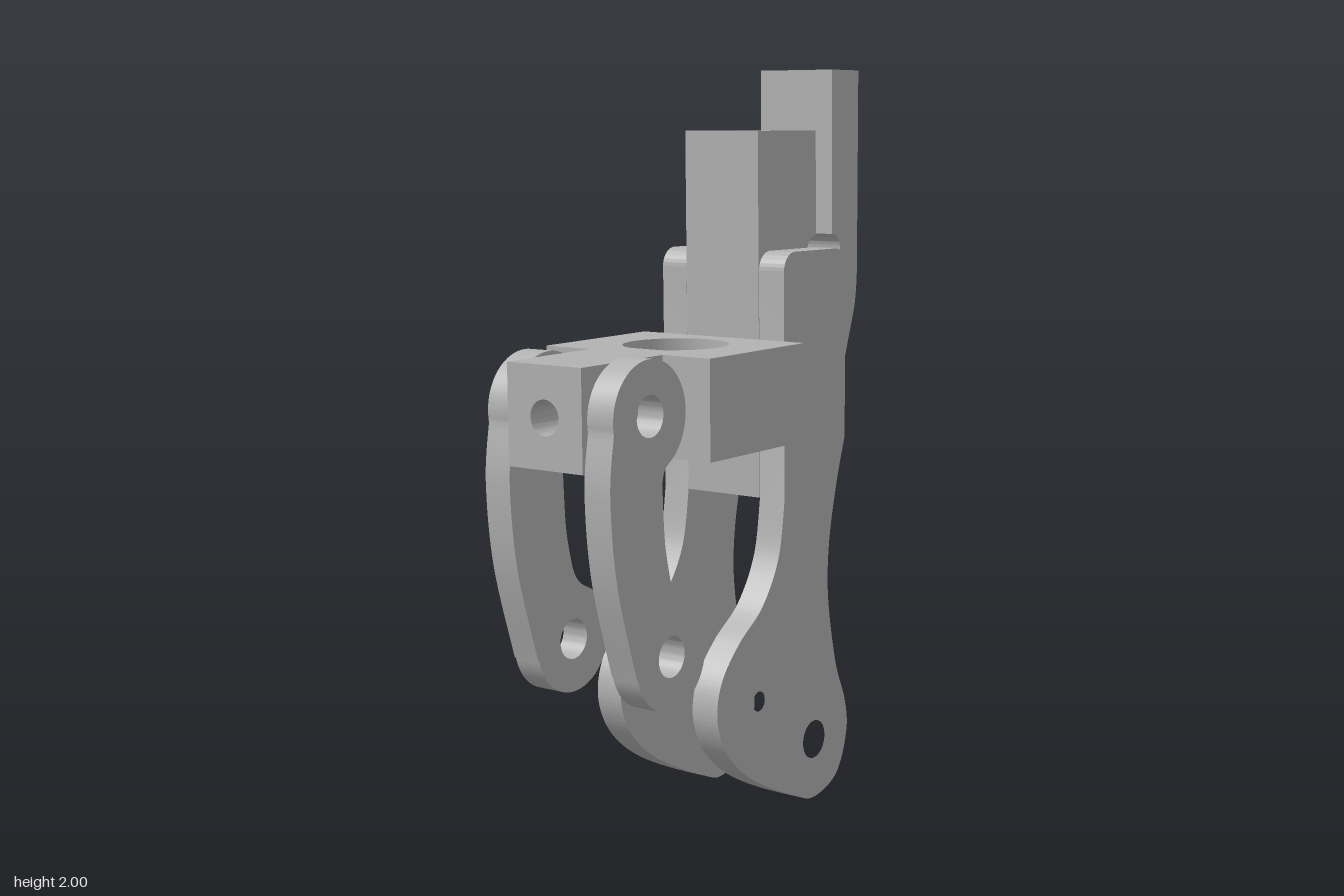
import * as THREE from 'three';
import { toCreasedNormals } from 'three/addons/utils/BufferGeometryUtils.js';

const metal = new THREE.MeshStandardMaterial({ color: 0xb2b2b2 });
metal.name = 'grey metal';

const THICK = 0.08; // side plates
const HALF = 0.118; // half width of the centre parts
const PIN = 0.053; // pin hole radius

function addHole(shape, x, y, r) {
  const hole = new THREE.Path();
  hole.absarc(x, y, r, 0, Math.PI * 2, true);
  shape.holes.push(hole);
}

function rect(x0, y0, x1, y1) {
  return new THREE.Shape([[x0, y0], [x1, y0], [x1, y1], [x0, y1]].map(p => new THREE.Vector2(...p)));
}

function extrude(shape, from, to) {
  const g = new THREE.ExtrudeGeometry(shape, { depth: to - from, bevelEnabled: false, curveSegments: 24 });
  g.translate(0, 0, from);
  return toCreasedNormals(g, 0.5);
}

function addMesh(group, name, geometry) {
  const m = new THREE.Mesh(geometry, metal);
  m.name = name;
  group.add(m);
  return m;
}

// One plate on each side of the centre parts
function platePair(group, name, shape) {
  addMesh(group, name + 'Front', extrude(shape, 0.122, 0.122 + THICK));
  addMesh(group, name + 'Back', extrude(shape, -0.118 - THICK, -0.118));
}

const vecs = list => list.map(p => new THREE.Vector2(...p));

// Large pear-shaped side plate
function leverShape() {
  const s = new THREE.Shape();
  s.moveTo(0.12, 1.47);
  s.absarc(0.17, 1.47, 0.05, Math.PI, Math.PI / 2, true);
  s.absarc(0.367, 1.47, 0.05, Math.PI / 2, 0, true);
  s.lineTo(0.42, 1.0);
  s.splineThru(vecs([[0.38, 0.87], [0.347, 0.71], [0.345, 0.56], [0.385, 0.37], [0.435, 0.25],
    [0.445, 0.155], [0.395, 0.045], [0.285, 0.004], [0.195, 0.028], [0.025, 0.105], [-0.08, 0.175],
    [-0.145, 0.25], [-0.172, 0.335], [-0.15, 0.425], [-0.075, 0.51], [0.03, 0.59], [0.103, 0.71], [0.13, 0.865]]));
  s.closePath();
  addHole(s, 0.24, 1.36, PIN);
  addHole(s, 0.245, 1.04, PIN);
  addHole(s, 0.28, 0.17, PIN);
  addHole(s, 0.015, 0.335, 0.027);
  return s;
}

// Curved hanging link with round eyes
function linkShape() {
  const s = new THREE.Shape();
  s.absarc(-0.45, 1.147, 0.143, -1.05, Math.PI + 0.2, false);
  s.splineThru(vecs([[-0.605, 0.97], [-0.58, 0.75], [-0.505, 0.5]]));
  s.absarc(-0.365, 0.533, 0.14, Math.PI + 0.25, Math.PI * 2 + 1.2, false);
  s.quadraticCurveTo(-0.355, 0.68, -0.37, 0.73);
  s.splineThru(vecs([[-0.392, 0.83], [-0.402, 0.97]]));
  s.quadraticCurveTo(-0.4, 1.01, -0.379, 1.023);
  addHole(s, -0.45, 1.15, PIN);
  addHole(s, -0.365, 0.533, PIN);
  return s;
}

// Upright jaw with a keyhole slot
function jawShape() {
  const s = new THREE.Shape();
  s.moveTo(0.13, 0.86);
  s.lineTo(0.43, 0.86);
  s.lineTo(0.59, 1.34);
  s.quadraticCurveTo(0.602, 1.39, 0.602, 1.46);
  s.lineTo(0.598, 2.0);
  s.lineTo(0.465, 2.0);
  s.lineTo(0.472, 1.552);
  s.absarc(0.472, 1.51, 0.042, Math.PI / 2, -Math.PI / 2, true);
  s.absarc(0.392, 1.51, 0.042, -Math.PI / 2, -Math.PI * 1.5, true);
  s.lineTo(0.387, 1.835);
  s.lineTo(0.115, 1.835);
  s.closePath();
  addHole(s, 0.24, 1.36, PIN);
  addHole(s, 0.245, 1.04, PIN);
  return s;
}

// Cross block: vertical bore, a pin hole through the arm and a hole along the arm
function crossBlock() {
  const g = new THREE.Group();
  g.name = 'crossBlock';
  const h = 0.13, r = 0.045;

  // Slabs with the lengthwise hole
  const slab = (name, x0, x1, half) => {
    const s = rect(-half, -h, half, h);
    addHole(s, 0, 0, r);
    addMesh(g, name, extrude(s, x0, x1).rotateY(Math.PI / 2));
  };
  slab('armEnd', -0.608, -0.503, HALF);
  slab('armRoot', -0.397, -0.29, HALF);
  slab('blockWall', -0.29, -0.21, 0.265);

  // Arm section around the pin hole
  const cheek = rect(-0.503, -h, -0.397, h);
  addHole(cheek, -0.45, 0, 0.0525);
  for (const side of [-1, 1]) {
    const [a, b] = side > 0 ? [r, HALF] : [-HALF, -r];
    addMesh(g, 'armCheek', extrude(cheek, a, b));
    const web = addMesh(g, 'armWeb', new THREE.BoxGeometry(0.106, h - PIN, r * 2));
    web.position.set(-0.45, side * (h + PIN) / 2, 0);
  }

  // Main body around the vertical bore
  const R = 0.14, cx = -0.08, a = Math.acos(-0.13 / R), z = R * Math.sin(a);
  const body = new THREE.Shape();
  body.moveTo(-0.21, -z);
  body.lineTo(-0.21, -0.265);
  body.lineTo(0.125, -0.265);
  body.lineTo(0.125, 0.265);
  body.lineTo(-0.21, 0.265);
  body.lineTo(-0.21, z);
  body.absarc(cx, 0, R, a, -a, true);
  addMesh(g, 'blockBody', extrude(body, -h, h).rotateX(-Math.PI / 2));

  g.position.y = 1.155;
  g.rotation.z = 0.013;
  return g;
}

export function createModel() {
  const model = new THREE.Group();
  model.name = 'clampLinkage';
  addMesh(model, 'jaw', extrude(jawShape(), -HALF, HALF + 0.002));
  platePair(model, 'leverPlate', leverShape());
  platePair(model, 'link', linkShape());
  model.add(crossBlock());
  return model;
}
